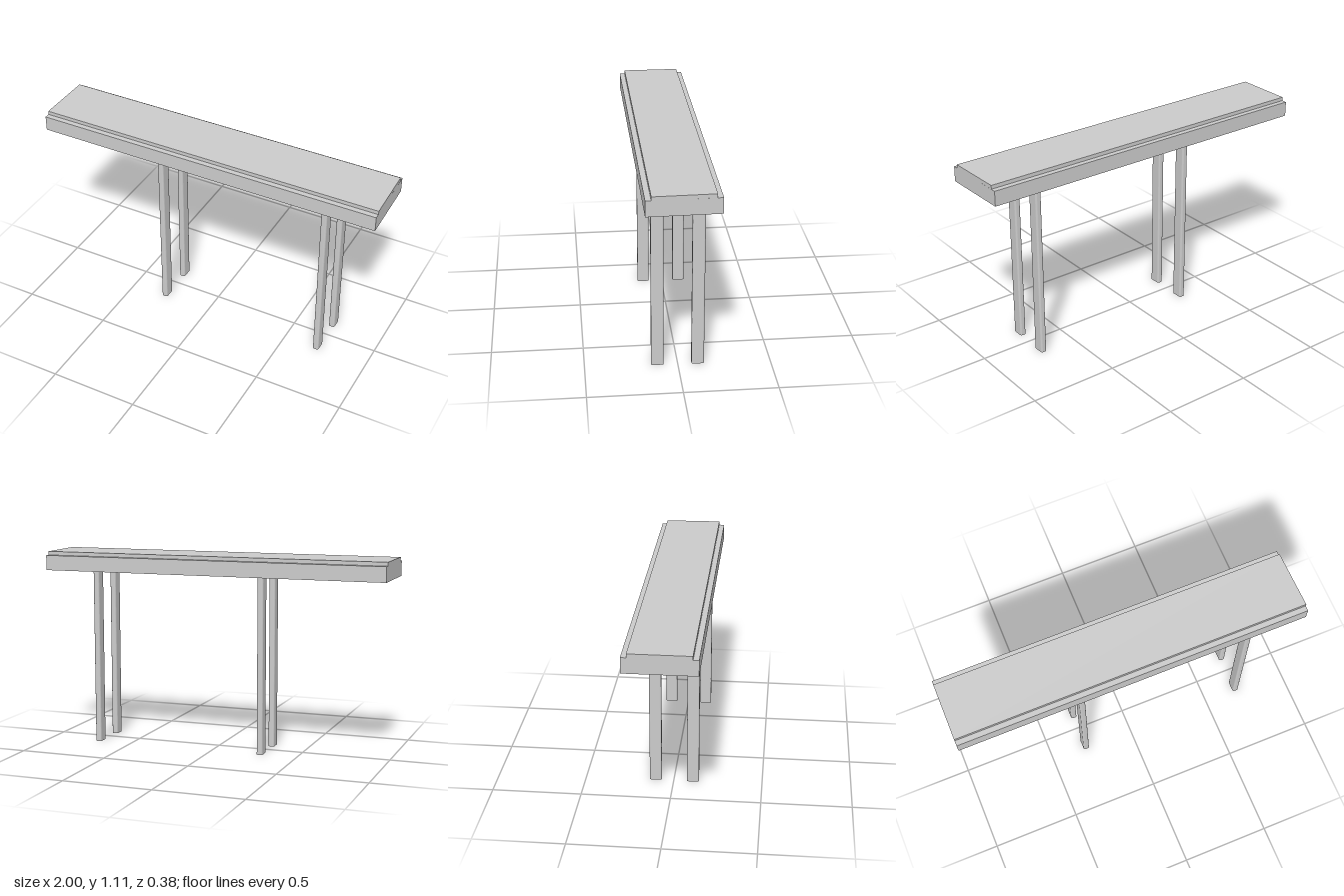
import * as THREE from 'three';

const material = new THREE.MeshStandardMaterial({ color: 0xcccccc });

// Extrudes a plan outline of [x, z] points upwards between two heights
function slab(name, shape, bottom, top) {
  const geometry = new THREE.ExtrudeGeometry(shape, { depth: top - bottom, bevelEnabled: false, curveSegments: 4 });
  geometry.rotateX(-Math.PI / 2);
  const mesh = new THREE.Mesh(geometry, material);
  mesh.name = name;
  mesh.position.y = bottom;
  return mesh;
}

// Plan of the deck, with its +x end very slightly out of square
function deckPlan(halfDepth) {
  return new THREE.Shape([
    new THREE.Vector2(-1, -halfDepth),
    new THREE.Vector2(1, -halfDepth),
    new THREE.Vector2(0.992, halfDepth),
    new THREE.Vector2(-1, halfDepth),
  ]);
}

// Rounded rectangle for the leg section
function legPlan(width, depth, r) {
  const x = width / 2, y = depth / 2;
  const s = new THREE.Shape();
  s.moveTo(-x + r, -y);
  s.lineTo(x - r, -y);
  s.absarc(x - r, -y + r, r, -Math.PI / 2, 0);
  s.lineTo(x, y - r);
  s.absarc(x - r, y - r, r, 0, Math.PI / 2);
  s.lineTo(-x + r, y);
  s.absarc(-x + r, y - r, r, Math.PI / 2, Math.PI);
  s.lineTo(-x, -y + r);
  s.absarc(-x + r, -y + r, r, Math.PI, Math.PI * 1.5);
  return s;
}

export function createModel() {
  const model = new THREE.Group();
  model.name = 'platform';

  // Deck with a narrower raised surface on top
  model.add(slab('deck', deckPlan(0.192), 1, 1.085));
  model.add(slab('raisedSurface', deckPlan(0.162), 1.085, 1.106));

  // Two pairs of flat legs
  const legs = [
    ['frontRightLeg', -0.289, 0.109],
    ['backRightLeg', -0.287, -0.103],
    ['frontLeftLeg', 0.697, 0.109],
    ['backLeftLeg', 0.702, -0.108],
  ];
  for (const [name, x, z] of legs) {
    const leg = slab(name, legPlan(0.034, 0.068, 0.01), 0, 1);
    leg.position.x = x;
    leg.position.z = z;
    model.add(leg);
  }
  return model;
}
